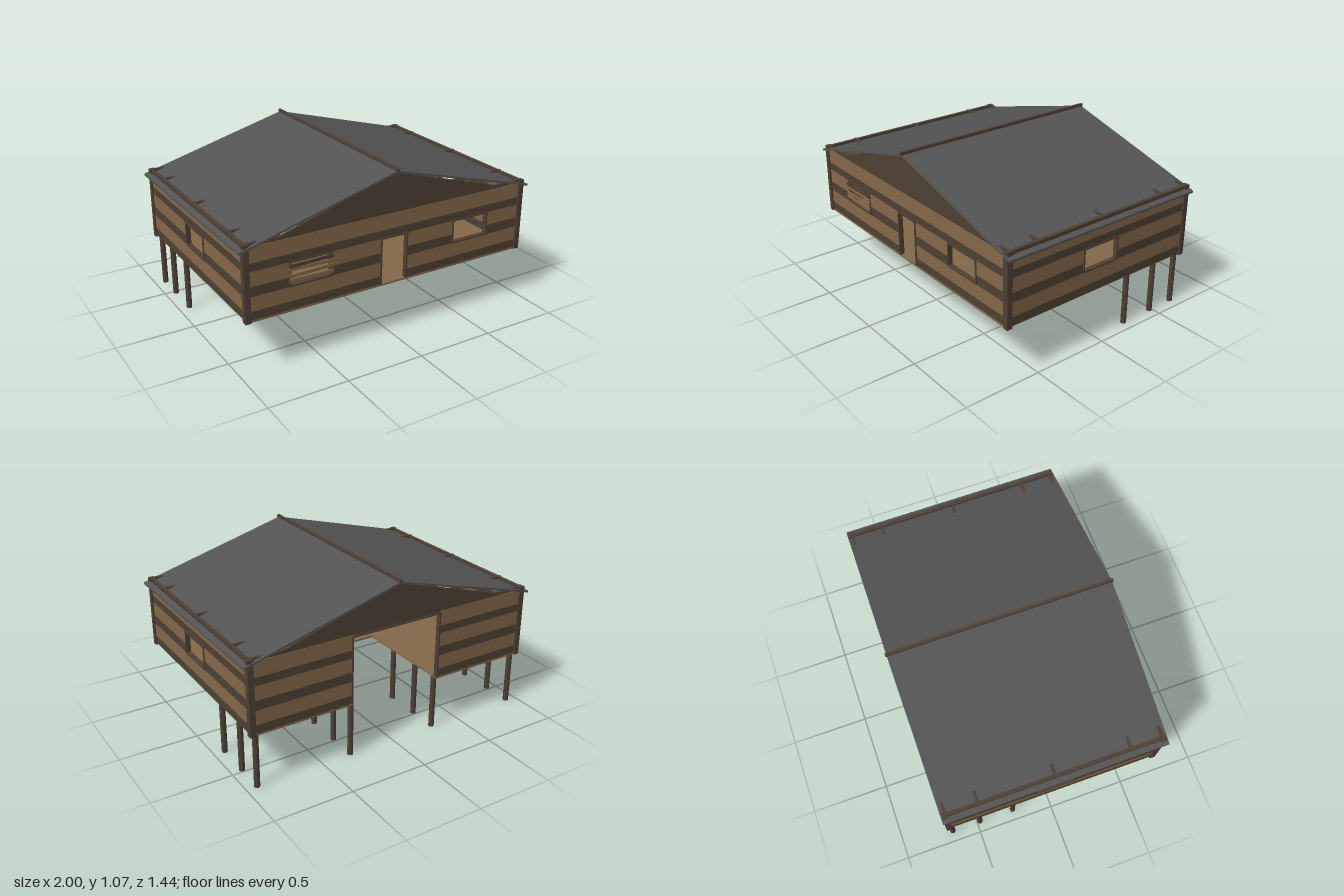
import * as THREE from 'three';

const mat = (name, color, side = THREE.FrontSide) => {
  const m = new THREE.MeshStandardMaterial({ color, side });
  m.name = name;
  return m;
};

export function createModel() {
  const light = mat('lightWood', 0x836849);
  const dark = mat('darkWood', 0x4e4033);
  const grey = mat('roofGrey', 0x545454);
  const root = new THREE.Group();
  root.name = 'boathouse';

  const add = (parent, name, geo, m, x = 0, y = 0, z = 0) => {
    const mesh = new THREE.Mesh(geo, m);
    mesh.name = name;
    mesh.position.set(x, y, z);
    parent.add(mesh);
    return mesh;
  };
  // Box given by its limits on each axis
  const block = (parent, name, m, [x0, x1], [y0, y1], [z0, z1]) =>
    add(parent, name, new THREE.BoxGeometry(x1 - x0, y1 - y0, z1 - z0), m,
      (x0 + x1) / 2, (y0 + y1) / 2, (z0 + z1) / 2);
  const group = (name) => {
    const g = new THREE.Group();
    g.name = name;
    root.add(g);
    return g;
  };

  // Plank rows shared by every wall
  const rows = [[0.355, 0.41], [0.41, 0.5], [0.5, 0.56], [0.56, 0.65], [0.65, 0.7], [0.7, 0.795]];

  // Wall along its local x axis; openings are [x0, x1, y0, y1]
  const wall = (name, half, openings) => {
    const g = group(name);
    rows.forEach(([y0, y1], i) => {
      let start = -half;
      const plank = (end) => block(g, 'plank', i % 2 ? light : dark, [start, end], [y0, y1], [-0.009, 0.009]);
      for (const [a, b, c, d] of openings) {
        if (c < y1 - 0.001 && d > y0 + 0.001) {
          plank(a);
          start = b;
        }
      }
      plank(half);
    });
    // Frames around the openings
    const t = 0.01, depth = [-0.015, 0.015];
    for (const [a, b, c, d] of openings) {
      block(g, 'frameSide', dark, [a - t / 2, a + t / 2], [c, d], depth);
      block(g, 'frameSide', dark, [b - t / 2, b + t / 2], [c, d], depth);
      block(g, 'frameTop', dark, [a - t / 2, b + t / 2], [d - t / 2, d + t / 2], depth);
      if (c > 0.4) block(g, 'frameSill', dark, [a - t / 2, b + t / 2], [c, c + t], depth);
    }
    return g;
  };

  const front = wall('frontWall', 0.955,
    [[-0.69, -0.43, 0.5, 0.65], [-0.09, 0.09, 0.355, 0.65], [0.43, 0.69, 0.5, 0.65]]);
  front.position.z = 0.685;
  const back = wall('backWall', 0.955, [[-0.31, 0.31, 0.355, 0.785]]);
  back.position.z = -0.685;
  for (const s of [-1, 1]) {
    const side = wall(s > 0 ? 'leftWall' : 'rightWall', 0.685,
      [s > 0 ? [-0.145, 0.115, 0.5, 0.65] : [-0.115, 0.145, 0.5, 0.65]]);
    side.rotation.y = s * Math.PI / 2;
    side.position.x = s * 0.955;
  }

  // Boards nailed over one front window
  [[0.63, 0.01, dark], [0.607, -0.03, light], [0.572, 0.02, light], [0.54, -0.02, light]]
    .forEach(([y, tilt, m]) => {
      add(root, 'windowBoard', new THREE.BoxGeometry(0.28, 0.02, 0.008), m, -0.56, y, 0.705).rotation.z = tilt;
    });

  // Floor, with a boat slip cut in from the back
  const deck = group('floor');
  const fy = [0.345, 0.357];
  block(deck, 'frontDeck', light, [-0.955, 0.955], fy, [0, 0.695]);
  block(deck, 'sideDeck', light, [-0.955, -0.305], fy, [-0.695, 0]);
  block(deck, 'sideDeck', light, [0.305, 0.955], fy, [-0.695, 0]);

  // Round piles under the back half
  const pileGeo = new THREE.CylinderGeometry(0.018, 0.018, 0.347, 10);
  for (const x of [-0.93, -0.305, 0.305, 0.93])
    for (const z of [-0.67, -0.48, -0.25]) add(root, 'pile', pileGeo, dark, x, 0.1735, z);

  // Corner posts and beams on top of the walls
  for (const s of [-1, 1]) {
    for (const z of [-0.685, 0.685])
      add(root, 'cornerPost', new THREE.BoxGeometry(0.036, 0.47, 0.036), dark, s * 0.955, 0.58, z);
    add(root, 'eaveBeam', new THREE.BoxGeometry(0.022, 0.022, 1.4), dark, s * 0.955, 0.803, 0);
  }
  for (const z of [-0.68, -0.48, 0, 0.48, 0.68])
    add(root, 'tieBeam', new THREE.BoxGeometry(1.94, 0.02, 0.02), dark, 0, 0.806, z);

  // Gable ends, leaving a narrow gap below the roof
  const tri = new THREE.Shape([[-0.83, 0.79], [0.83, 0.79], [0, 1.04]].map((p) => new THREE.Vector2(...p)));
  const gableGeo = new THREE.ExtrudeGeometry(tri, { depth: 0.012, bevelEnabled: false });
  for (const z of [-0.691, 0.679]) add(root, 'gable', gableGeo, dark, 0, 0, z);

  // Roof sheets and ridge beam
  for (const s of [-1, 1]) {
    const sheet = new THREE.Shape([[0, 1.055], [s, 0.783], [s, 0.77], [0, 1.042]].map((p) => new THREE.Vector2(...p)));
    add(root, 'roofSheet', new THREE.ExtrudeGeometry(sheet, { depth: 1.42, bevelEnabled: false }), grey, 0, 0, -0.71);
  }
  add(root, 'ridgeBeam', new THREE.BoxGeometry(0.018, 0.02, 1.436), dark, 0, 1.06, 0);

  return root;
}
